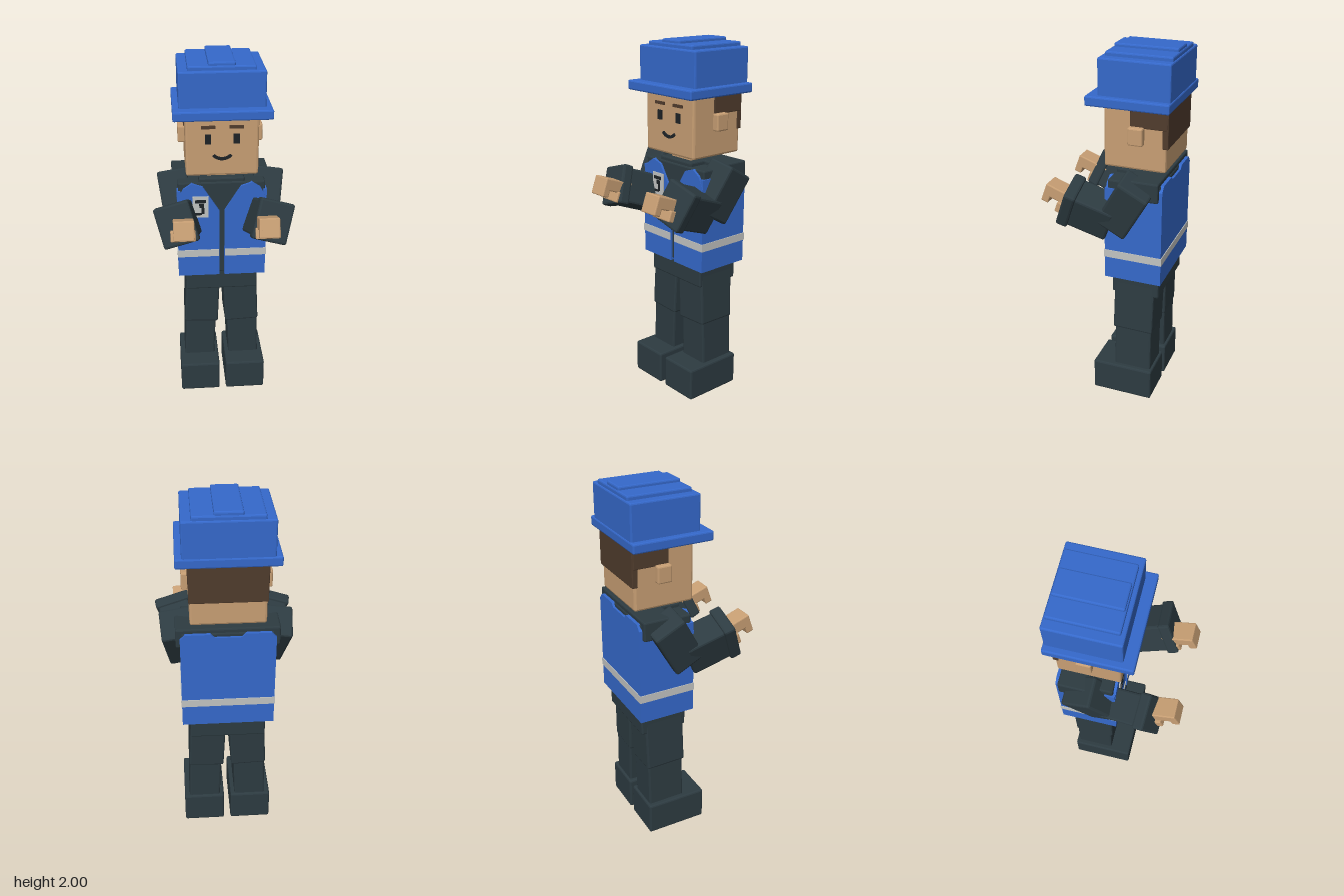
import * as THREE from 'three';
import { RoundedBoxGeometry } from 'three/addons/geometries/RoundedBoxGeometry.js';

const mat = (name, color) => {
  const m = new THREE.MeshStandardMaterial({ color });
  m.name = name;
  return m;
};

export function createModel() {
  const blue = mat('workwear blue', 0x3569cb);
  const dark = mat('dark slate cloth', 0x2d3b41);
  const skin = mat('skin', 0xc89f74);
  const hairBrown = mat('hair brown', 0x503c2d);
  const black = mat('black', 0x1d2226);
  const silver = mat('reflective silver', 0xc2c4c2);

  const model = new THREE.Group();
  model.name = 'worker';

  const add = (parent, name, geometry, material, x = 0, y = 0, z = 0) => {
    const mesh = new THREE.Mesh(geometry, material);
    mesh.name = name;
    mesh.position.set(x, y, z);
    parent.add(mesh);
    return mesh;
  };
  // Box with a small faceted bevel, placed by its centre
  const block = (parent, name, material, size, pos, bevel = 0.008) => {
    const g = new RoundedBoxGeometry(...size, 1, bevel);
    g.computeVertexNormals();
    return add(parent, name, g, material, ...pos);
  };
  // Sharp box for thin plates
  const plate = (parent, name, material, size, pos) =>
    add(parent, name, new THREE.BoxGeometry(...size), material, ...pos);
  // Box given by its lower and upper corners
  const span = (name, material, a, b, bevel) =>
    block(model, name, material, a.map((v, i) => b[i] - v), a.map((v, i) => (v + b[i]) / 2), bevel);
  // Flat outline in x and y, thickened along z
  const panel = (name, points, depth, z) => {
    const shape = new THREE.Shape(points.map(p => new THREE.Vector2(...p)));
    return add(model, name, new THREE.ExtrudeGeometry(shape, { depth, bevelEnabled: false }), blue, 0, 0, z);
  };

  // Hard hat
  span('hatBrim', blue, [-0.258, 1.72, -0.35], [0.258, 1.772, 0.092]);
  span('hatCrown', blue, [-0.225, 1.76, -0.345], [0.225, 1.96, 0.034]);
  span('hatWideRidge', blue, [-0.176, 1.94, -0.338], [0.176, 1.982, 0.012]);
  span('hatNarrowRidge', blue, [-0.07, 1.96, -0.333], [0.07, 2.0, 0.005]);

  // Head, hair and neck
  span('head', skin, [-0.194, 1.39, -0.32], [0.194, 1.74, 0.013], 0.012);
  span('hairSides', hairBrown, [-0.199, 1.617, -0.325], [0.199, 1.74, -0.13], 0.004);
  span('hairBack', hairBrown, [-0.197, 1.52, -0.331], [0.197, 1.74, -0.3], 0.004);
  span('neck', skin, [-0.08, 1.31, -0.235], [0.08, 1.41, -0.07]);

  // Face
  for (const s of [-1, 1]) {
    block(model, 'ear', skin, [0.05, 0.094, 0.08], [s * 0.205, 1.577, -0.165]);
    plate(model, 'eye', black, [0.032, 0.052, 0.009], [s * 0.075, 1.598, 0.017]);
    plate(model, 'eyebrow', hairBrown, [0.074, 0.016, 0.009], [s * 0.074, 1.663, 0.017]);
  }
  const smile = new THREE.Shape();
  smile.absarc(0, 1.552, 0.072, Math.PI * 1.24, Math.PI * 1.76, false);
  smile.absarc(0, 1.552, 0.056, Math.PI * 1.76, Math.PI * 1.24, true);
  add(model, 'mouth', new THREE.ExtrudeGeometry(smile, { depth: 0.009, bevelEnabled: false }), black, 0, 0, 0.0125);

  // Shirt and hips
  span('shirt', dark, [-0.238, 0.775, -0.31], [0.238, 1.335, -0.022]);
  span('shoulders', dark, [-0.268, 1.25, -0.305], [0.268, 1.357, -0.13]);
  span('collar', dark, [-0.125, 1.3, -0.2], [0.125, 1.357, -0.03]);
  span('hips', dark, [-0.205, 0.655, -0.3], [0.205, 0.79, -0.035]);

  // Vest
  for (const s of [-1, 1]) {
    const outline = [
      [0.014, 0.765], [0.246, 0.765], [0.246, 1.24], [0.21, 1.305],
      [0.165, 1.335], [0.105, 1.315], [0.014, 1.17],
    ].map(([x, y]) => [s * x, y]);
    panel('vestFront', outline, 0.026, -0.034);
    plate(model, 'vestSide', blue, [0.02, 0.525, 0.31], [s * 0.236, 1.0275, -0.165]);
    plate(model, 'stripeFront', silver, [0.232, 0.043, 0.008], [s * 0.134, 0.909, -0.008]);
    plate(model, 'stripeSide', silver, [0.008, 0.043, 0.323], [s * 0.246, 0.909, -0.1655]);
  }
  panel('vestBack', [
    [-0.246, 0.765], [0.246, 0.765], [0.246, 1.305], [0.22, 1.335], [0.09, 1.335], [0.07, 1.315],
    [-0.07, 1.315], [-0.09, 1.335], [-0.22, 1.335], [-0.246, 1.305],
  ], 0.026, -0.323);
  plate(model, 'stripeBack', silver, [0.5, 0.043, 0.008], [0, 0.909, -0.323]);

  // Plain identity badge
  plate(model, 'badge', silver, [0.088, 0.125, 0.008], [-0.118, 1.198, -0.005]);
  for (const [x, y, w, h] of [
    [-0.118, 1.233, 0.06, 0.018], [-0.112, 1.208, 0.026, 0.022],
    [-0.105, 1.18, 0.014, 0.04], [-0.13, 1.158, 0.04, 0.012],
  ]) plate(model, 'badgeMark', black, [w, h, 0.004], [x, y, 0.0005]);

  // Arms, bent forward at the elbow
  const rad = THREE.MathUtils.degToRad;
  for (const s of [-1, 1]) {
    const upper = block(model, 'upperArm', dark, [0.165, 0.29, 0.18], [s * 0.244, 1.21, -0.125], 0.012);
    upper.rotation.set(rad(-30), 0, rad(-9 * s), 'ZXY');

    const forearm = new THREE.Group();
    forearm.name = 'forearm';
    forearm.position.set(s * 0.238, 1.155, 0.083);
    forearm.rotation.set(rad(-20), rad(9 * s), rad(-18 * s), 'YXZ');
    block(forearm, 'sleeve', dark, [0.172, 0.198, 0.26], [0, 0, -0.01], 0.012);
    block(forearm, 'cuff', dark, [0.194, 0.222, 0.064], [0, 0, 0.104], 0.012);
    model.add(forearm);

    // Gripping hand, measured from the top front edge of the fingers
    const hand = new THREE.Group();
    hand.name = 'hand';
    hand.position.set(s * 0.22, 1.274, 0.311);
    hand.rotation.x = rad(-20);
    block(hand, 'palm', skin, [0.108, 0.066, 0.18], [0, -0.033, -0.09], 0.006);
    block(hand, 'fingers', skin, [0.108, 0.104, 0.042], [0, -0.052, -0.021], 0.006);
    block(hand, 'thumb', skin, [0.132, 0.06, 0.05], [s * 0.003, -0.09, -0.118], 0.006);
    model.add(hand);
  }

  // Legs and boots
  for (const s of [-1, 1]) {
    const thigh = block(model, 'thigh', dark, [0.196, 0.31, 0.228], [s * 0.113, 0.575, -0.16], 0.01);
    thigh.rotation.set(rad(-1), 0, rad(2.5 * s));
    const shin = block(model, 'shin', dark, [0.178, 0.3, 0.212], [s * 0.128, 0.29, -0.16], 0.01);
    shin.rotation.z = rad(2 * s);
    block(model, 'boot', dark, [0.23, 0.185, 0.346], [s * 0.134, 0.0925, -0.107], 0.01);
  }

  return model;
}
